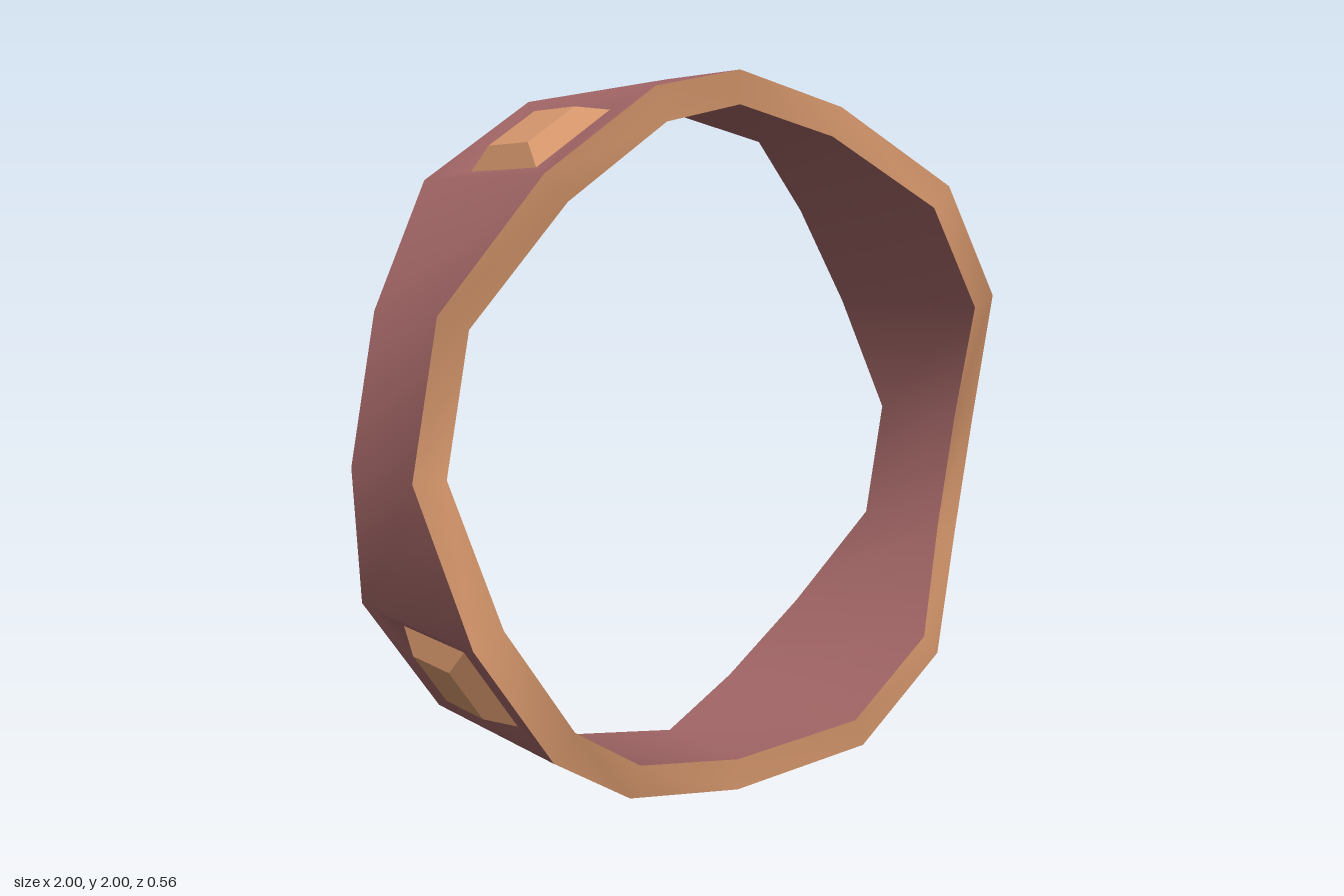
import * as THREE from 'three';

const SIDES = 16, OUTER = 1, INNER = 0.91;
const STEP = (Math.PI * 2) / SIDES;
const bandMat = new THREE.MeshStandardMaterial({ color: 0xa06464 });
const trimMat = new THREE.MeshStandardMaterial({ color: 0xd2946a });

// Half width of the band at corner k: two wide corners, then two narrow, four times round
const halfWidth = (k) => (k % 4 === 1 || k % 4 === 2 ? 0.28 : 0.155);

// Point at corner k of a ring of radius r, on the front (+1) or back (-1) edge
function corner(k, r, side) {
  const a = (k % SIDES) * STEP;
  return [r * Math.cos(a), 1 + r * Math.sin(a), side * halfWidth(k)];
}

// Rectangle facing outwards at angle a: radius r, half length t round the band, half width w
function plate(a, r, t, w) {
  const c = Math.cos(a), s = Math.sin(a);
  return [[-t, w], [-t, -w], [t, -w], [t, w]].map(([u, z]) => [r * c - u * s, 1 + r * s + u * c, z]);
}

// Four quads joining two loops of four points
const frame = (from, to) => from.map((p, i) => [p, from[(i + 1) % 4], to[(i + 1) % 4], to[i]]);

// Mesh from quads; smooth shares equal points so their normals blend
function quadMesh(name, quads, material, smooth) {
  const pos = [], index = [], seen = new Map();
  const add = (p) => {
    const key = p.map((v) => Math.round(v * 1e4)).join();
    if (smooth && seen.has(key)) return seen.get(key);
    const id = pos.length / 3;
    pos.push(...p);
    seen.set(key, id);
    return id;
  };
  for (const q of quads) {
    const [a, b, c, d] = q.map(add);
    index.push(a, b, c, a, c, d);
  }
  const geo = new THREE.BufferGeometry();
  geo.setAttribute('position', new THREE.Float32BufferAttribute(pos, 3));
  geo.setIndex(index);
  geo.computeVertexNormals();
  const mesh = new THREE.Mesh(geo, material);
  mesh.name = name;
  return mesh;
}

export function createModel() {
  const group = new THREE.Group();
  group.name = 'ring';
  const outer = [], inner = [], front = [], back = [];
  const gems = new THREE.Group();
  gems.name = 'gems';

  for (let k = 0; k < SIDES; k++) {
    const n = k + 1;
    const panel = [corner(k, OUTER, 1), corner(k, OUTER, -1), corner(n, OUTER, -1), corner(n, OUTER, 1)];
    const lining = [corner(k, INNER, 1), corner(k, INNER, -1), corner(n, INNER, -1), corner(n, INNER, 1)];

    if (k % 4 === 1) {
      // Wide panel dips into a shallow socket holding a bevelled gem
      const a = (k + 0.5) * STEP;
      const base = plate(a, 0.962, 0.132, 0.15);
      const top = plate(a, 1.005, 0.083, 0.09);
      outer.push(...frame(panel, base));
      gems.add(quadMesh('gem', [...frame(base, top), top], trimMat, false));
    } else {
      outer.push(panel);
    }
    inner.push([...lining].reverse());
    front.push([lining[0], panel[0], panel[3], lining[3]]);
    back.push([lining[2], panel[2], panel[1], lining[1]]);
  }

  group.add(
    quadMesh('outerBand', outer, bandMat, true),
    quadMesh('innerBand', inner, bandMat, true),
    quadMesh('frontRim', front, trimMat, true),
    quadMesh('backRim', back, trimMat, true),
    gems
  );
  return group;
}
